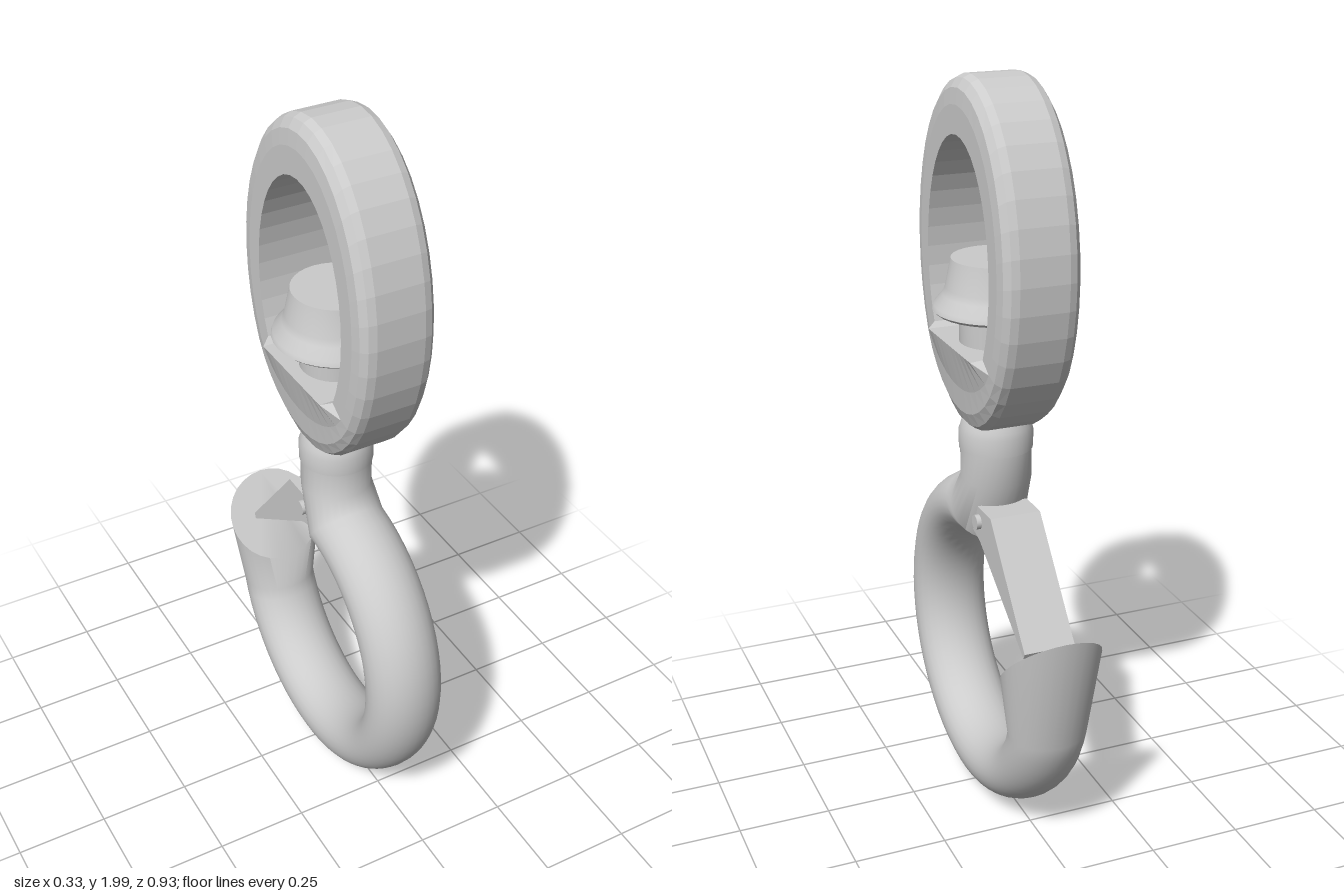
import * as THREE from 'three';
import { toCreasedNormals } from 'three/addons/utils/BufferGeometryUtils.js';

const steel = new THREE.MeshStandardMaterial({ color: 0xcccccc });

// Skin a list of equal-length point rings; open lofts get flat caps.
function loft(rings, closed) {
  const n = rings[0].length, index = [];
  const count = rings.length;
  for (let i = 0; i < (closed ? count : count - 1); i++) {
    for (let j = 0; j < n; j++) {
      const k = (j + 1) % n, next = ((i + 1) % count) * n;
      const a = i * n + j, b = i * n + k, c = next + j, d = next + k;
      index.push(a, c, b, b, c, d);
    }
  }
  if (!closed) {
    const e = (count - 1) * n;
    for (let j = 1; j < n - 1; j++) index.push(0, j, j + 1, e, e + j + 1, e + j);
  }
  const geo = new THREE.BufferGeometry();
  geo.setAttribute('position', new THREE.Float32BufferAttribute(rings.flat(2), 3));
  geo.setIndex(index);
  return geo;
}

// Elliptical ring between an inner and an outer [z, y] point, w = half width in x.
function ellipseRing([zi, yi], [zo, yo], w, sides = 28) {
  const ring = [];
  for (let j = 0; j < sides; j++) {
    const p = (j / sides) * Math.PI * 2, t = 0.5 + Math.cos(p) / 2;
    ring.push([w * Math.sin(p), yi + (yo - yi) * t, zi + (zo - zi) * t]);
  }
  return ring;
}

function lathe(points) {
  const profile = points.map(([r, y]) => new THREE.Vector2(r, y));
  return toCreasedNormals(new THREE.LatheGeometry(profile, 32), 0.6);
}

// Oval eye: rounded outside, with a flat, flared sill across the bottom of the hole.
function eyeGeometry() {
  const W = 0.105, SILL = 1.32, steps = 40;
  // [x, fraction from inner edge to outer edge]
  const half = [[0.065, 1], [0.085, 0.94], [0.1, 0.78], [W, 0.5], [W, 0]];
  const section = [...half, ...half.map(([x, t]) => [-x, t]).reverse()];
  const rings = [];
  for (let i = 0; i < steps; i++) {
    const a = -(i / steps) * Math.PI * 2, c = Math.cos(a), s = Math.sin(a);
    const yIn = 1.525 + 0.33 * s, zIn = 0.213 * c;
    const yOut = 1.545 + 0.455 * s, zOut = 0.315 * c;
    const y0 = Math.max(yIn, SILL);
    rings.push(section.map(([x, t]) => {
      const px = t === 0 && yIn < SILL ? Math.sign(x) * 0.13 : x;
      return [px, y0 + (yOut - y0) * t, zIn + (zOut - zIn) * t];
    }));
  }
  const geo = loft(rings, true).toNonIndexed();
  geo.computeVertexNormals();
  return geo;
}

// Shank, round bend and flared, slanted tip in one skin.
function hookGeometry() {
  const rings = [
    ellipseRing([-0.093, 1.035], [0.093, 1.035], 0.095),
    ellipseRing([-0.092, 0.94], [0.093, 0.95], 0.095),
  ];
  const steps = 40, rad = Math.PI / 180;
  const at = (r, deg) => [r * Math.cos(deg * rad), 0.47 + r * Math.sin(deg * rad)];
  for (let i = 0; i <= steps; i++) {
    const t = i / steps;
    rings.push(ellipseRing(at(0.29, 92 - 250 * t), at(0.46, 75 - 240 * t), 0.106));
  }
  rings.push(ellipseRing([-0.287, 0.465], [-0.467, 0.665], 0.137));
  return toCreasedNormals(loft(rings, false), 0.7);
}

// Wedge-shaped gate, drawn from the side and extruded across x.
function latchGeometry() {
  const outline = [[-0.045, 0.88], [-0.135, 0.88], [-0.367, 0.6], [-0.36, 0.585],
    [-0.06, 0.785], [-0.01, 0.8]];
  const shape = new THREE.Shape(outline.map(([z, y]) => new THREE.Vector2(-z, y)));
  const geo = new THREE.ExtrudeGeometry(shape, { depth: 0.14, bevelEnabled: false });
  geo.translate(0, 0, -0.07);
  geo.rotateY(Math.PI / 2);
  return geo;
}

export function createModel() {
  const model = new THREE.Group();
  model.name = 'swivelHook';
  const add = (name, geometry) => {
    const mesh = new THREE.Mesh(geometry, steel);
    mesh.name = name;
    model.add(mesh);
    return mesh;
  };

  add('eye', eyeGeometry());

  // Swivel: nut sitting above the sill, collar under the eye
  add('swivelNut', lathe([[0, 1.3], [0.095, 1.3], [0.095, 1.4], [0.155, 1.4], [0.164, 1.408],
    [0.16, 1.42], [0.137, 1.447], [0.13, 1.465], [0.115, 1.54], [0, 1.54]]));
  add('collar', lathe([[0, 1.028], [0.098, 1.028], [0.099, 1.075], [0.094, 1.09],
    [0.088, 1.11], [0.075, 1.13], [0, 1.14]]));

  add('hook', hookGeometry());

  // Safety latch and its pivot pin
  add('latch', latchGeometry());
  const pin = add('latchPin', new THREE.CylinderGeometry(0.02, 0.02, 0.166, 20));
  pin.rotation.z = Math.PI / 2;
  pin.position.set(0, 0.84, -0.055);

  return model;
}
